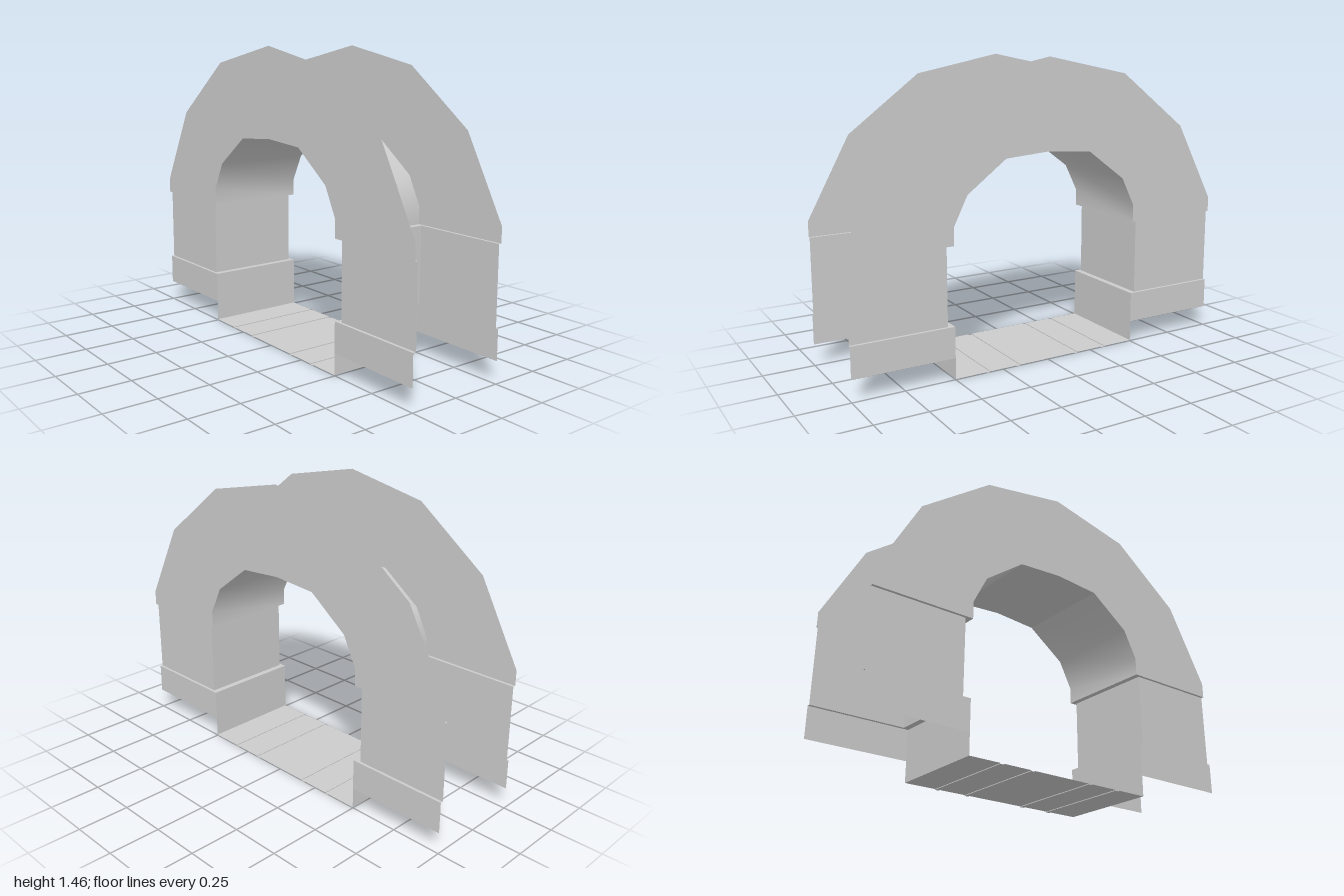
import * as THREE from 'three';
import { toCreasedNormals } from 'three/addons/utils/BufferGeometryUtils.js';

const OUT = 0.252;   // half width of arch and base
const IN = 0.238;    // half width of the recessed piers
const BASE_TOP = 0.255, SPRING = 0.63, SHEET_BOTTOM = 0.105;

// Sweeps a [z, y] profile across x, facing the inside of the opening
function strip(profile, half) {
  const pos = [], index = [];
  profile.forEach(([z, y], i) => {
    pos.push(-half, y, z, half, y, z);
    if (i > 0) {
      const a = 2 * i - 2, b = a + 1, d = a + 2, c = a + 3;
      index.push(a, c, b, a, d, c);
    }
  });
  const g = new THREE.BufferGeometry();
  g.setAttribute('position', new THREE.Float32BufferAttribute(pos, 3));
  g.setIndex(index);
  return toCreasedNormals(g, Math.PI / 6);
}

// Flat side sheet from a [z, y] outline, on the given side
function sheet(outline, half, side) {
  const shape = new THREE.Shape(outline.map(([z, y]) => new THREE.Vector2(z, y)));
  return new THREE.ShapeGeometry(shape).rotateY(side * Math.PI / 2).translate(side * half, 0, 0);
}

// Horizontal ledge facing up (+1) or down (-1)
function ledge(x, z, width, depth, y, facing) {
  return new THREE.PlaneGeometry(width, depth).rotateX(-facing * Math.PI / 2).translate(x, y, z);
}

// Completes a half profile, given from +z to the crown, with its mirror image
function mirrored(half) {
  const rest = half.filter(([z]) => z > 0).reverse().map(([z, y]) => [-z, y]);
  return [...half, ...rest];
}

export function createModel() {
  const model = new THREE.Group();
  const stone = new THREE.MeshStandardMaterial({ color: 0xcccccc, side: THREE.DoubleSide });
  stone.name = 'paleStone';
  const add = (name, geometry) => {
    const mesh = new THREE.Mesh(geometry, stone);
    mesh.name = name;
    model.add(mesh);
  };

  // Vault lining and arch faces
  const inner = mirrored([[0.5, SPRING], [0.5, 0.715], [0.43, 0.855], [0.23, 1.003], [0, 1.02]]);
  const outer = mirrored([[1, SPRING], [1, 0.705], [0.79, 1.095], [0.43, 1.368], [0, 1.455]]);
  add('vaultLining', strip(inner, OUT));
  const archOutline = [...outer, ...inner.slice().reverse()];
  for (const side of [-1, 1]) add('archFace', sheet(archOutline, OUT, side));

  // Floor with shallow cross grooves, turned up into the base walls
  const floor = [[-0.5, BASE_TOP], [-0.5, 0.004]];
  for (const z of [-0.33, -0.165, 0.165, 0.33]) {
    floor.push([z - 0.01, 0.004], [z - 0.01, 0], [z + 0.01, 0], [z + 0.01, 0.004]);
  }
  floor.push([0.5, 0.004], [0.5, BASE_TOP]);
  add('floorAndBaseWalls', strip(floor, OUT));

  for (const end of [-1, 1]) {
    // Recessed pier wall
    const wall = [[0.53 * end, BASE_TOP], [0.53 * end, SPRING]];
    add('pierWall', strip(end > 0 ? wall : wall.reverse(), IN));

    // Ledges across the passage
    add('baseLedge', ledge(0, 0.515 * end, 2 * OUT, 0.03, BASE_TOP, 1));
    add('springLedge', ledge(0, 0.515 * end, 2 * OUT, 0.03, SPRING, -1));

    for (const side of [-1, 1]) {
      const rect = (z0, y0, y1) => [[z0 * end, y0], [end, y0], [end, y1], [z0 * end, y1]];
      add('pierFace', sheet(rect(0.53, BASE_TOP, SPRING), IN, side));
      add('baseFace', sheet(rect(0.5, SHEET_BOTTOM, BASE_TOP), OUT, side));

      // Narrow ledges along the side faces
      const x = side * (OUT + IN) / 2;
      add('baseSideLedge', ledge(x, 0.765 * end, OUT - IN, 0.47, BASE_TOP, 1));
      add('springSideLedge', ledge(x, 0.765 * end, OUT - IN, 0.47, SPRING, -1));
    }
  }
  return model;
}
